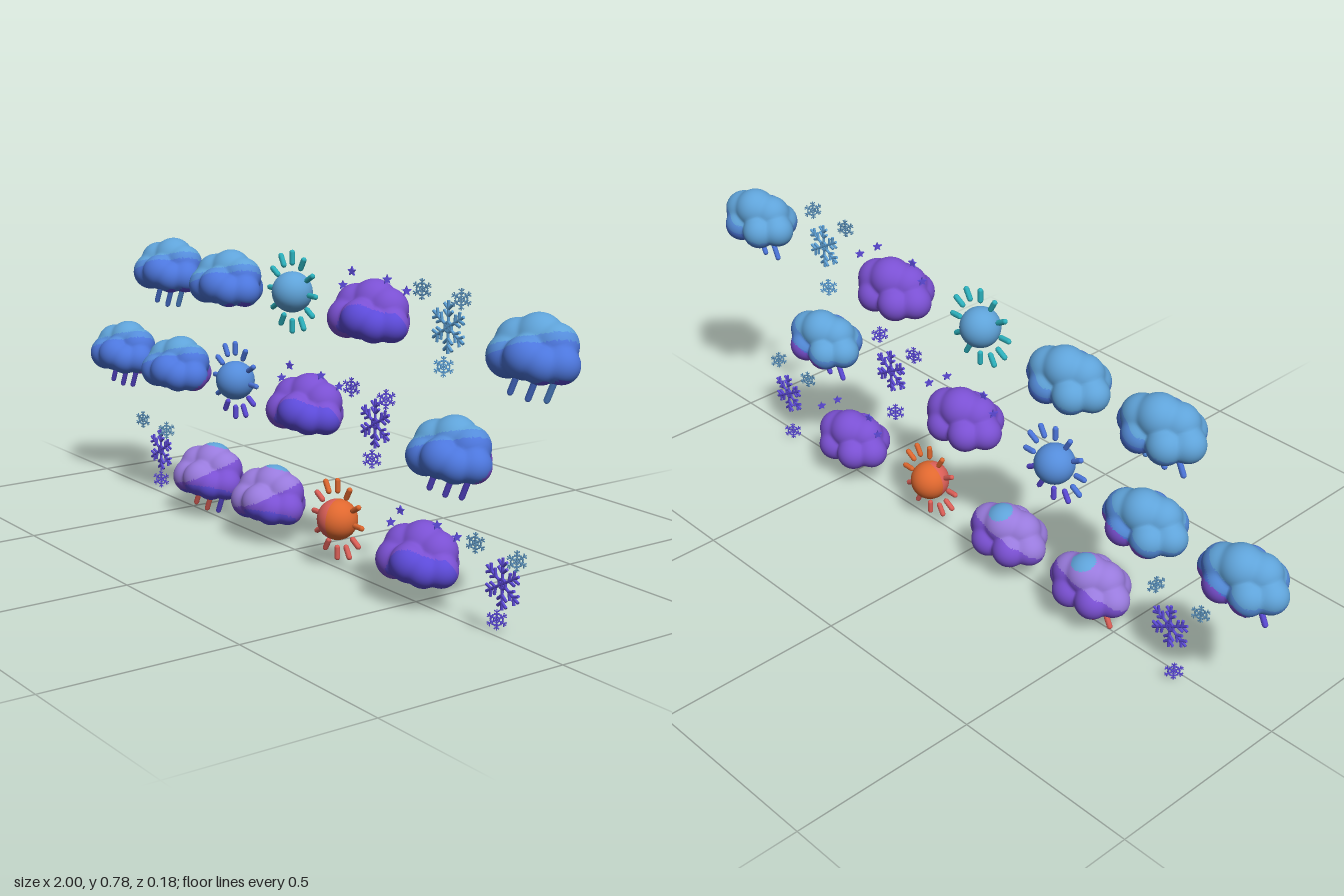
import * as THREE from 'three';
import { mergeGeometries, mergeVertices } from 'three/addons/utils/BufferGeometryUtils.js';

function paint(name, color) {
  const m = new THREE.MeshStandardMaterial({ color });
  m.name = name;
  return m;
}

function named(name, geometry, material, parent) {
  const mesh = new THREE.Mesh(geometry, material);
  mesh.name = name;
  parent.add(mesh);
  return mesh;
}

// Overlapping puffs [x, y, z, radius] that make up one cloud
const PUFFS = [
  [0, 0.018, -0.013, 0.055], [-0.042, 0.01, 0.01, 0.048], [0.044, 0.006, -0.02, 0.05],
  [-0.078, -0.027, 0, 0.043], [0.08, -0.028, -0.003, 0.041], [-0.04, -0.022, 0.038, 0.048],
  [0.018, -0.016, 0.042, 0.048], [0.054, -0.028, 0.03, 0.042], [-0.042, -0.031, -0.036, 0.045],
  [0.028, -0.029, -0.044, 0.044], [0, -0.031, 0, 0.045],
];

// A sphere pushed outwards to the softly blended surface of the puffs
function cloudGeometry() {
  const ball = new THREE.IcosahedronGeometry(1, 17);
  ball.deleteAttribute('uv');
  ball.deleteAttribute('normal');
  const geo = mergeVertices(ball, 1e-5);
  const pos = geo.attributes.position;
  const d = new THREE.Vector3(), c = new THREE.Vector3(), base = new THREE.Vector3(0, -0.012, 0);
  for (let i = 0; i < pos.count; i++) {
    d.fromBufferAttribute(pos, i).normalize();
    let sum = 0;
    for (const [x, y, z, r] of PUFFS) {
      c.set(x, y, z).sub(base);
      const along = d.dot(c), disc = along * along - c.lengthSq() + r * r;
      if (disc > 0) sum += Math.exp(260 * (along + Math.sqrt(disc)));
    }
    d.multiplyScalar(Math.log(sum) / 260).add(base);
    pos.setXYZ(i, d.x, d.y, d.z);
  }
  geo.computeVertexNormals();
  return geo;
}

// Colour the faces: the first zone [material, axis x, y, z, limit] that a face lies beyond wins
function zonedCloud(source, zones) {
  const geo = source.clone();
  const idx = source.index, pos = source.attributes.position;
  const lists = zones.map(() => []);
  const p = new THREE.Vector3(), q = new THREE.Vector3();
  for (let i = 0; i < idx.count; i += 3) {
    const tri = [idx.getX(i), idx.getX(i + 1), idx.getX(i + 2)];
    p.set(0, 0, 0);
    for (const k of tri) p.add(q.fromBufferAttribute(pos, k));
    p.divideScalar(3);
    lists[zones.findIndex(([, x, y, z, limit]) => p.dot(q.set(x, y, z)) > limit)].push(...tri);
  }
  geo.setIndex(lists.flat());
  let start = 0;
  lists.forEach((list, m) => {
    geo.addGroup(start, list.length, m);
    start += list.length;
  });
  return [geo, zones.map((zone) => zone[0])];
}

// Thin rod between two points in the xy plane
function rod(x1, y1, x2, y2, r) {
  const g = new THREE.CylinderGeometry(r, r, Math.hypot(x2 - x1, y2 - y1), 6);
  g.rotateZ(Math.atan2(y2 - y1, x2 - x1) - Math.PI / 2);
  return g.translate((x1 + x2) / 2, (y1 + y2) / 2, 0);
}

// Six arms with pairs of twigs at the given heights, and optionally a hexagon web
function flakeGeometry(R, r, twigs, web) {
  const parts = [];
  for (let i = 0; i < 6; i++) {
    const arm = [rod(0, 0, 0, R, r)];
    for (const h of web) arm.push(rod(0, h * R, h * R * Math.sin(Math.PI / 3), h * R / 2, r));
    for (const at of twigs) {
      for (const s of [-1, 1]) arm.push(rod(0, at * R, s * 0.24 * R, (at + 0.2) * R, r));
    }
    for (const g of arm) parts.push(g.rotateZ(i * Math.PI / 3));
  }
  return mergeGeometries(parts);
}

function starGeometry(R) {
  const pts = [];
  for (let i = 0; i < 10; i++) {
    const a = Math.PI / 2 + i * Math.PI / 5, q = i % 2 ? R * 0.45 : R;
    pts.push(new THREE.Vector2(q * Math.cos(a), q * Math.sin(a)));
  }
  const g = new THREE.ExtrudeGeometry(new THREE.Shape(pts), { depth: 0.005, bevelEnabled: false });
  return g.translate(0, 0, -0.0025);
}

export function createModel() {
  const root = new THREE.Group();
  root.name = 'weatherIcons';

  const sky = paint('skyBlue', 0x5fa3d9), azure = paint('azure', 0x548cda);
  const blue = paint('blue', 0x4c76dc), indigo = paint('indigo', 0x5c4ad8);
  const violet = paint('violet', 0x7a50d2), lavender = paint('lavender', 0x987adc);
  const orange = paint('orange', 0xe0682f), coral = paint('coral', 0xdd6058);
  const teal = paint('teal', 0x2cb2be), steel = paint('steelBlue', 0x5a8fb8);

  const cloudBase = cloudGeometry();
  const nightCloud = zonedCloud(cloudBase, [[violet, -0.5, 0.3, -0.7, -0.055], [indigo, 0, 0, 0, -1]]);
  const drop = new THREE.CapsuleGeometry(0.0072, 0.055, 3, 8).rotateZ(-0.45);
  const ray = new THREE.CapsuleGeometry(0.0072, 0.026, 3, 8).translate(0, 0.087, 0);
  const ballSide = new THREE.SphereGeometry(0.052, 18, 20, 0, Math.PI * 0.6);
  const ballRest = new THREE.SphereGeometry(0.052, 36, 20, Math.PI * 0.6, Math.PI * 1.4);
  const bigFlake = flakeGeometry(0.061, 0.0038, [0.42, 0.68], [0.2]);
  const smallFlake = flakeGeometry(0.025, 0.0016, [0.4, 0.7], [0.3, 0.62]);
  const star = starGeometry(0.0125);

  // Rows from bottom to top; rays hold [main colour, second colour, first and last ray of the second]
  const rows = [
    { y: 0.128, x: { rain: [-0.417], cloud: [-0.123], sun: 0.18, night: 0.503, snow: [-0.68, 0.797] },
      zones: [[sky, 0, 1, -0.3, 0.069], [lavender, -0.3, 1, 0.3, 0.002],
        [violet, -0.3, 0.9, -0.5, -0.075], [indigo, 0, 0, 0, -1]],
      drops: [coral, coral, indigo], ball: [coral, orange], rays: [orange, coral, 2, 8],
      snow: indigo, smallSnow: steel },
    { y: 0.403, x: { rain: [-0.88, 0.61], cloud: [-0.583], sun: -0.283, night: 0.043, snow: [0.33] },
      zones: [[violet, 0.35, -1, -0.8, 0.088], [sky, -0.5, 1, -0.3, 0.025],
        [azure, -0.5, 1, -0.3, 0], [blue, 0, 0, 0, -1]],
      drops: [indigo, indigo, indigo], ball: [azure, azure], rays: [blue, indigo, 5, 8],
      snow: indigo, smallSnow: indigo },
    { y: 0.677, x: { rain: [-0.615, 0.877], cloud: [-0.32], sun: -0.017, night: 0.305, snow: [0.594] },
      zones: [[sky, -0.5, 1, -0.3, 0.008], [azure, -0.5, 1, -0.3, -0.015],
        [blue, -0.5, 1, -0.3, -0.11], [indigo, 0, 0, 0, -1]],
      drops: [blue, blue, azure], ball: [sky, sky], rays: [teal, teal, 0, 0],
      snow: sky, smallSnow: steel },
  ];

  for (const row of rows) {
    const icon = (name, x) => {
      const g = new THREE.Group();
      g.name = name;
      g.position.set(x, row.y, -0.004);
      root.add(g);
      return g;
    };
    const dayCloud = zonedCloud(cloudBase, row.zones);

    // Plain clouds and rain clouds
    for (const x of row.x.cloud) named('cloud', ...dayCloud, icon('cloudIcon', x));
    for (const x of row.x.rain) {
      const g = icon('rainIcon', x);
      named('cloud', ...dayCloud, g);
      [[-0.06, -0.087], [-0.003, -0.091], [0.055, -0.084]].forEach(([dx, dy], i) => {
        named('raindrop', drop, row.drops[i], g).position.set(dx, dy, 0);
      });
    }

    // Sun with twelve rays
    const sun = icon('sunIcon', row.x.sun);
    named('sunBallFrontRight', ballSide, row.ball[0], sun);
    named('sunBall', ballRest, row.ball[1], sun);
    const [main, second, first, last] = row.rays;
    for (let i = 0; i < 12; i++) {
      named('sunRay', ray, i >= first && i <= last ? second : main, sun).rotation.z = i * Math.PI / 6;
    }

    // Night cloud with stars, each turned about its upright axis
    const night = icon('nightIcon', row.x.night);
    named('nightCloud', ...nightCloud, night);
    for (const [x, y, z, turn] of [[-0.108, 0.045, 0, 1.1], [-0.072, 0.083, 0, 0.3],
      [0.065, 0.08, 0, 1.1], [0.103, 0.055, -0.028, 1.2]]) {
      const s = named('star', star, indigo, night);
      s.position.set(x, y, z);
      s.rotation.y = turn;
    }

    // Large snowflake with three small ones
    for (const x of row.x.snow) {
      const g = icon('snowIcon', x);
      named('largeSnowflake', bigFlake, row.snow, g);
      for (const [dx, dy, dz, turn, color] of [[-0.08, 0.077, 0.012, 0.45, row.smallSnow],
        [0.069, 0.075, 0.022, 1.15, row.smallSnow], [-0.041, -0.1, -0.023, 0.8, row.snow]]) {
        const f = named('smallSnowflake', smallFlake, color, g);
        f.position.set(dx, dy, dz);
        f.rotation.y = turn;
      }
    }
  }
  return root;
}
